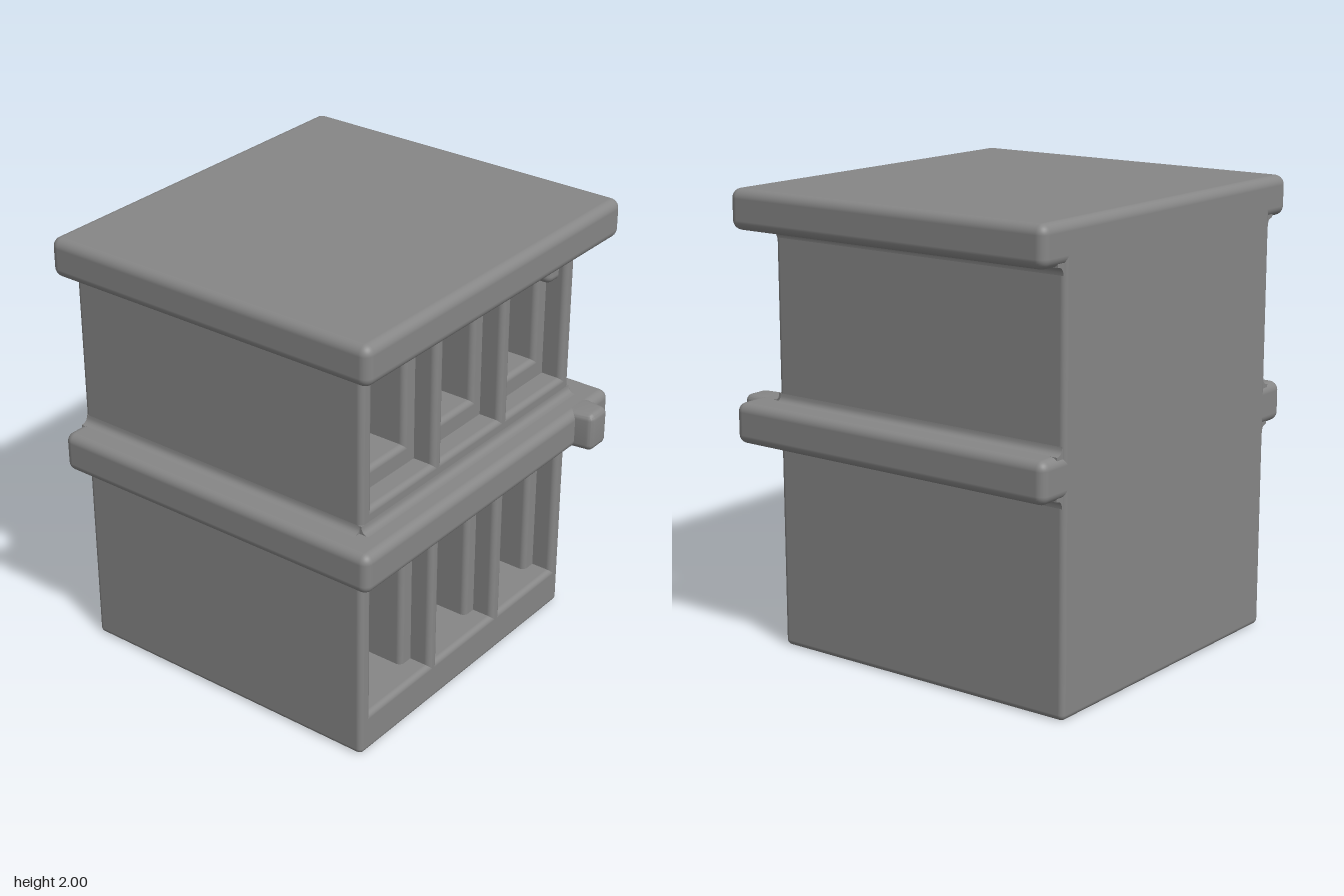
import * as THREE from 'three';
import { toCreasedNormals } from 'three/addons/utils/BufferGeometryUtils.js';
import { RoundedBoxGeometry } from 'three/addons/geometries/RoundedBoxGeometry.js';

const material = new THREE.MeshStandardMaterial({ color: 0x868686 });

function addMesh(parent, name, geometry) {
  const mesh = new THREE.Mesh(geometry, material);
  mesh.name = name;
  parent.add(mesh);
  return mesh;
}

// Rounded box given by its limits on each axis
function addBlock(parent, name, x0, x1, y0, y1, z0, z1, radius) {
  const geo = new RoundedBoxGeometry(x1 - x0, y1 - y0, z1 - z0, 4, radius);
  geo.translate((x0 + x1) / 2, (y0 + y1) / 2, (z0 + z1) / 2);
  return addMesh(parent, name, geo);
}

// Grid of posts and rails that leaves the window openings free
function addLattice(parent, name, posts, rails, z0, z1, radius) {
  const lattice = new THREE.Group();
  lattice.name = name;
  for (const [x0, x1] of posts) addBlock(lattice, 'post', x0, x1, 0, 1.9, z0, z1, radius);
  for (const [y0, y1] of rails) addBlock(lattice, 'rail', -0.745, 0.745, y0, y1, z0, z1, radius);
  parent.add(lattice);
}

// Hollow fillet in the angle of wall and ledge; up is 1 above a ledge, -1 below
function addCove(parent, length, up, angle, x, y, z) {
  const r = 0.035, sunk = -0.02;
  const shape = new THREE.Shape();
  shape.moveTo(sunk, sunk * up);
  shape.lineTo(r, sunk * up);
  shape.lineTo(r, 0);
  shape.quadraticCurveTo(0, 0, 0, r * up);
  shape.lineTo(sunk, r * up);
  const geo = new THREE.ExtrudeGeometry(shape, { depth: length, bevelEnabled: false, curveSegments: 5 });
  geo.translate(0, 0, -length / 2).rotateY(angle).translate(x, y, z);
  addMesh(parent, 'cove', toCreasedNormals(geo, 0.7));
}

export function createModel() {
  const group = new THREE.Group();

  // Body: front frame around wide openings, narrower deep bays, solid back
  addLattice(group, 'frontFrame',
    [[-0.745, -0.675], [-0.265, -0.205], [0.205, 0.27], [0.68, 0.745]],
    [[0, 0.185], [0.82, 1.18], [1.82, 1.9]], 0.46, 0.64, 0.025);
  addLattice(group, 'bayWalls',
    [[-0.745, -0.61], [-0.335, -0.14], [0.14, 0.335], [0.61, 0.745]],
    [[0, 0.185], [0.82, 1.27], [1.82, 1.9]], -0.15, 0.54, 0.025);
  addBlock(group, 'backBody', -0.745, 0.745, 0, 1.9, -0.85, -0.06, 0.025);

  // Filled upper corner of one surround
  addBlock(group, 'surroundFill', 0.61, 0.72, 1.64, 1.88, 0.46, 0.6, 0.035);

  // Flat roof and the band between floors, both flush with the back
  addBlock(group, 'roofSlab', -0.882, 0.882, 1.825, 2, -0.85, 0.77, 0.042);
  addBlock(group, 'floorBand', -0.88, 0.88, 0.912, 1.09, -0.85, 0.77, 0.04);

  // Coves softening the ledges along the sides and the front of the band
  for (const [y, up] of [[1.825, -1], [1.09, 1], [0.912, -1]]) {
    addCove(group, 1.47, up, 0, 0.745, y, -0.105);
    addCove(group, 1.47, up, Math.PI, -0.745, y, -0.105);
    if (y < 1.5) addCove(group, 1.49, up, -Math.PI / 2, 0, y, 0.64);
  }

  // Small boss on the band's front, widening towards the band
  const boss = addBlock(group, 'bandBoss', 0.612, 0.742, 0.912, 1.09, 0.7, 0.85, 0.03);
  const pos = boss.geometry.attributes.position;
  for (let i = 0; i < pos.count; i++) {
    const spread = 1 + 0.35 * Math.max(0, (0.81 - pos.getZ(i)) / 0.11);
    pos.setX(i, 0.677 + (pos.getX(i) - 0.677) * spread);
  }
  boss.geometry.computeVertexNormals();
  boss.geometry = toCreasedNormals(boss.geometry, 0.9);

  return group;
}
